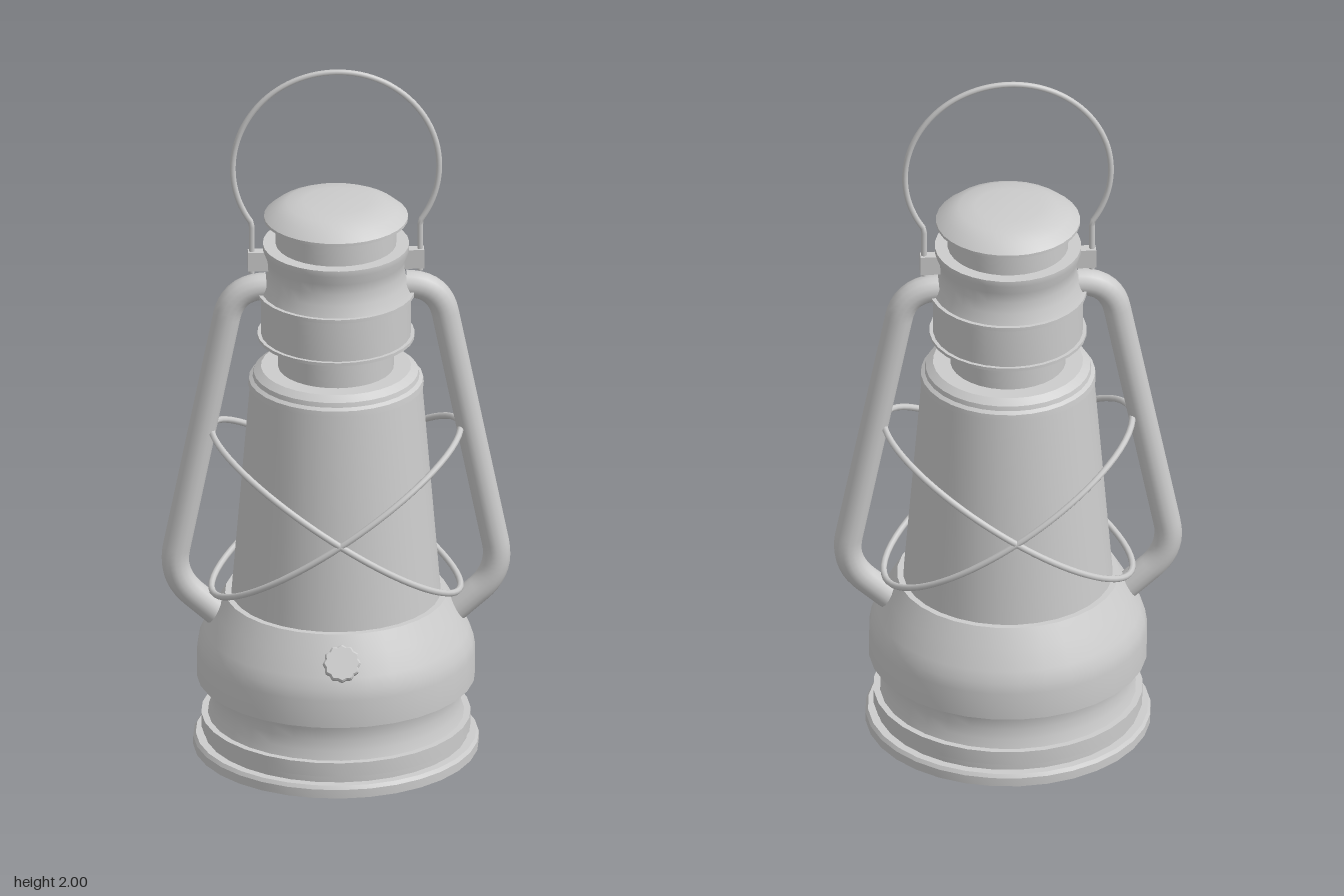
import * as THREE from 'three';
import { toCreasedNormals } from 'three/addons/utils/BufferGeometryUtils.js';

const material = new THREE.MeshStandardMaterial({ color: 0xcccccc });

function add(parent, name, geometry) {
  const mesh = new THREE.Mesh(geometry, material);
  mesh.name = name;
  parent.add(mesh);
  return mesh;
}

// Turned part from [radius, height] pairs, listed bottom to top
function turned(parent, name, profile) {
  const points = profile.map(([r, y]) => new THREE.Vector2(r, y));
  return add(parent, name, toCreasedNormals(new THREE.LatheGeometry(points, 32), 0.6));
}

// Path of straight runs joined by rounded bends
function bentPath(points, bend) {
  const path = new THREE.CurvePath();
  const v = points.map(([x, y]) => new THREE.Vector3(x, y, 0));
  let from = v[0];
  for (let i = 1; i < v.length - 1; i++) {
    const a = v[i].clone().add(v[i - 1].clone().sub(v[i]).setLength(bend));
    const b = v[i].clone().add(v[i + 1].clone().sub(v[i]).setLength(bend));
    path.add(new THREE.LineCurve3(from, a));
    path.add(new THREE.QuadraticBezierCurve3(a, v[i], b));
    from = b;
  }
  path.add(new THREE.LineCurve3(from, v[v.length - 1]));
  return path;
}

// Closed ellipse tilted across the lantern
class TiltedEllipse extends THREE.Curve {
  constructor(side) {
    super();
    this.side = side;
  }
  getPoint(t, target = new THREE.Vector3()) {
    const a = t * Math.PI * 2;
    return target.set(this.side * 0.34 * Math.cos(a), 0.7 + 0.235 * Math.cos(a), 0.28 * Math.sin(a));
  }
}

export function createModel() {
  const lantern = new THREE.Group();
  lantern.name = 'lantern';

  // Foot with stepped rims and a hollowed waist
  turned(lantern, 'foot', [
    [0, 0], [0.39, 0], [0.39, 0.025], [0.383, 0.035], [0.36, 0.035], [0.36, 0.055],
    [0.368, 0.055], [0.368, 0.095], [0.35, 0.095], [0.342, 0.12], [0.338, 0.15],
    [0.34, 0.18], [0.348, 0.205], [0, 0.205],
  ]);

  // Fuel tank with rounded shoulder
  turned(lantern, 'fuelTank', [
    [0, 0.205], [0.38, 0.205], [0.38, 0.285], [0.375, 0.315], [0.362, 0.345],
    [0.332, 0.4], [0.303, 0.45], [0, 0.45],
  ]);

  // Tapered globe and its top collar
  turned(lantern, 'globe', [[0, 0.45], [0.286, 0.45], [0.235, 1.07], [0, 1.07]]);
  turned(lantern, 'globeCollar', [
    [0, 1.068], [0.24, 1.068], [0.238, 1.085], [0.228, 1.092], [0.225, 1.105],
    [0.205, 1.12], [0, 1.12],
  ]);

  // Chimney: lower neck, hood, upper neck and cap
  turned(lantern, 'lowerNeck', [[0.158, 1.1], [0.158, 1.22]]);
  turned(lantern, 'hood', [
    [0, 1.21], [0.215, 1.21], [0.215, 1.219], [0.205, 1.219], [0.205, 1.337],
    [0.215, 1.337], [0.215, 1.347], [0.204, 1.347], [0.192, 1.378], [0.187, 1.41],
    [0.189, 1.44], [0.2, 1.468], [0.2, 1.485], [0, 1.485],
  ]);
  turned(lantern, 'upperNeck', [[0.165, 1.48], [0.165, 1.57]]);
  turned(lantern, 'cap', [
    [0, 1.558], [0.197, 1.558], [0.197, 1.566], [0.17, 1.588], [0.135, 1.604],
    [0.09, 1.609], [0, 1.611],
  ]);

  // Filler cap with a fluted rim, seated on the tank shoulder
  const flutes = new THREE.Shape();
  for (let i = 0; i < 48; i++) {
    const a = (i / 48) * Math.PI * 2;
    const r = 0.049 + 0.0025 * Math.cos(a * 12);
    if (i === 0) flutes.moveTo(r, 0);
    else flutes.lineTo(r * Math.cos(a), r * Math.sin(a));
  }
  const filler = add(lantern, 'fillerCap', new THREE.ExtrudeGeometry(flutes, {
    depth: 0.035, bevelThickness: 0.005, bevelSize: 0.004, bevelOffset: -0.004, bevelSegments: 1,
  }));
  filler.position.set(0, 0.371, 0.33);
  filler.rotation.x = -0.55;

  // Side tubes, handle ears and wire guards, mirrored
  for (const side of [1, -1]) {
    const label = side > 0 ? 'left' : 'right';
    const framePath = bentPath(
      [[0.19, 1.36], [0.282, 1.355], [0.452, 0.505], [0.325, 0.392]].map(([x, y]) => [side * x, y]), 0.085);
    add(lantern, label + 'FrameTube', new THREE.TubeGeometry(framePath, 64, 0.038, 14));

    // Flat end disc closing the lower tube opening
    const end = add(lantern, label + 'TubeEnd', new THREE.CircleGeometry(0.038, 14));
    end.position.set(side * 0.325, 0.392, 0);
    end.quaternion.setFromUnitVectors(
      new THREE.Vector3(0, 0, 1), new THREE.Vector3(side * -0.127, -0.113, 0).normalize());

    const ear = add(lantern, label + 'HandleEar', new THREE.BoxGeometry(0.055, 0.055, 0.03));
    ear.position.set(side * 0.213, 1.437, 0);

    add(lantern, label + 'GuardWire', new THREE.TubeGeometry(new TiltedEllipse(side), 72, 0.009, 8, true));
  }

  // Wire carrying handle: straight legs joined by a large arc
  const legX = 0.23;
  const radius = 0.282;
  const centreY = 1.71;
  const start = -Math.acos(legX / radius);
  const arc = [];
  for (let i = 0; i <= 40; i++) {
    const a = start + (i / 40) * (Math.PI - 2 * start);
    arc.push(new THREE.Vector3(radius * Math.cos(a), centreY + radius * Math.sin(a), 0));
  }
  const handle = new THREE.CurvePath();
  handle.add(new THREE.LineCurve3(new THREE.Vector3(legX, 1.4, 0), arc[0]));
  handle.add(new THREE.CatmullRomCurve3(arc));
  handle.add(new THREE.LineCurve3(arc[40], new THREE.Vector3(-legX, 1.4, 0)));
  add(lantern, 'carryingHandle', new THREE.TubeGeometry(handle, 90, 0.008, 8));

  return lantern;
}
